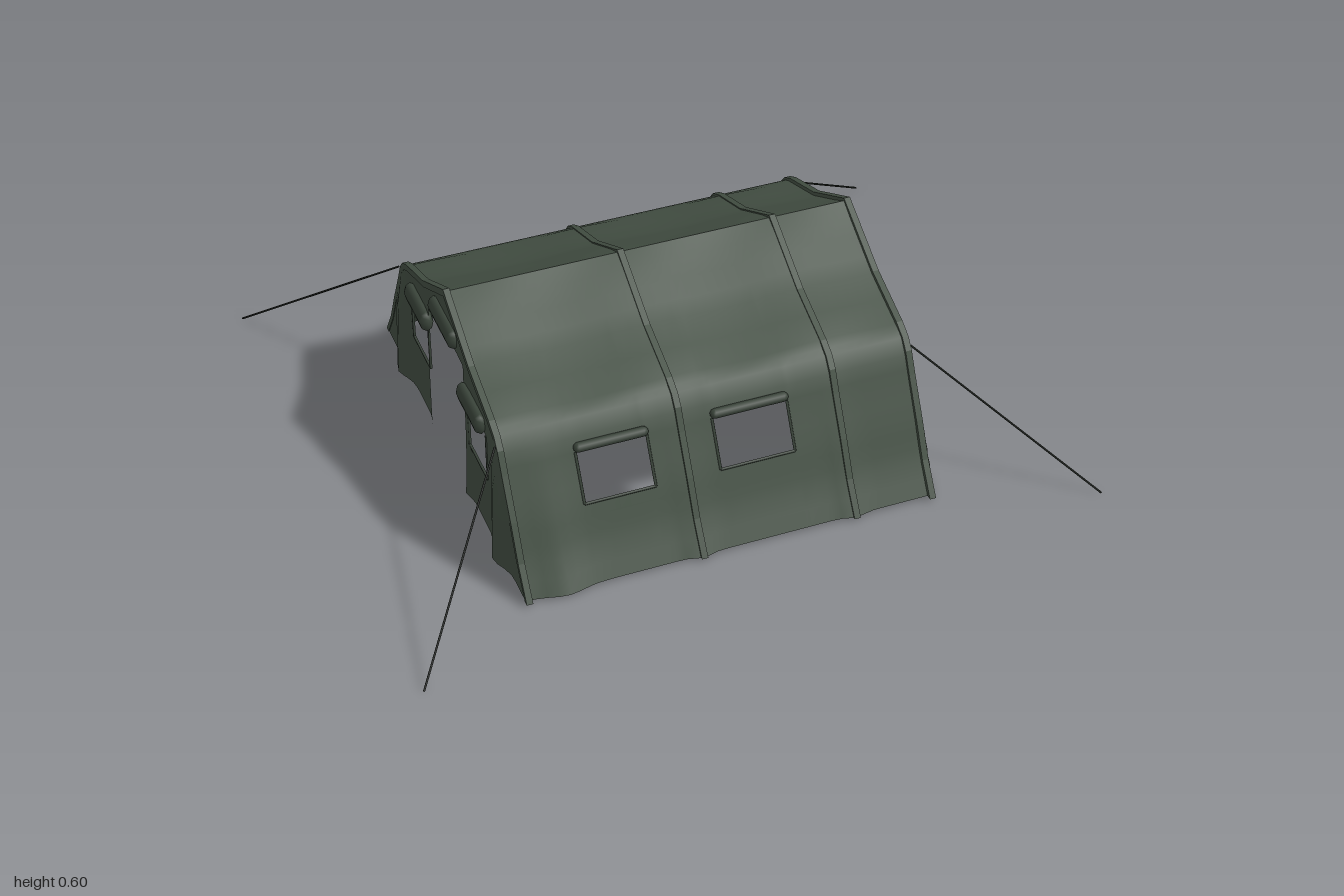
import * as THREE from 'three';

const canvas = new THREE.MeshStandardMaterial({ color: 0x445044, roughness: 0.9, side: THREE.DoubleSide });
const trim = new THREE.MeshStandardMaterial({ color: 0x3a443a, roughness: 0.9, side: THREE.DoubleSide });
const cord = new THREE.MeshStandardMaterial({ color: 0x1c201c });

// Half cross-section as [z, y], ground to ridge
const PROFILE = [[0.625, 0.01], [0.565, 0.1], [0.515, 0.2], [0.455, 0.31], [0.425, 0.37], [0.4, 0.4],
  [0.36, 0.422], [0.2, 0.48], [0.1, 0.535], [0, 0.59]];
const XL = -0.615, XR = 0.565;
const RIBS = [-0.608, -0.115, 0.33, 0.555];
const WINDOWS = [[-0.41, -0.21], [-0.025, 0.19]];
const WIN_LOW = 0.2, WIN_HIGH = 0.325;

const bump = (t, c, w, h) => h * Math.exp(-(((t - c) / w) ** 2));

// Linear lookup in the profile: axis 0 gives y from z, axis 1 gives z from y
function lookup(value, axis) {
  const v = Math.abs(value);
  for (let i = 1; i < PROFILE.length; i++) {
    const a = PROFILE[i - 1], b = PROFILE[i];
    const t = (v - a[axis]) / (b[axis] - a[axis]);
    if (t <= 1 && t >= -1e-6) return a[1 - axis] + t * (b[1 - axis] - a[1 - axis]);
  }
  return axis === 0 ? 0.01 : 0;
}

// Sorted grid lines: an even range plus exact break lines
function lines(from, to, step, extra = []) {
  const out = [...extra, from, to];
  const n = Math.round((to - from) / step);
  for (let i = 1; i < n; i++) {
    const v = from + ((to - from) * i) / n;
    if (extra.every((e) => Math.abs(e - v) > step * 0.3)) out.push(v);
  }
  return [...new Set(out)].sort((a, b) => a - b);
}

// Cloth sheet over a grid, leaving out the cells whose centre is in a hole
function sheet(us, vs, point, isHole, flip) {
  const pos = [], index = [], n = us.length;
  for (const v of vs) for (const u of us) pos.push(...point(u, v));
  for (let j = 0; j < vs.length - 1; j++) {
    for (let i = 0; i < n - 1; i++) {
      if (isHole((us[i] + us[i + 1]) / 2, (vs[j] + vs[j + 1]) / 2)) continue;
      const a = j * n + i, b = a + 1, c = a + n, d = c + 1;
      if (flip) index.push(a, d, b, a, c, d);
      else index.push(a, b, d, a, d, c);
    }
  }
  const g = new THREE.BufferGeometry();
  g.setAttribute('position', new THREE.Float32BufferAttribute(pos, 3));
  g.setIndex(index);
  g.computeVertexNormals();
  return g;
}

function add(parent, name, geometry, material) {
  const mesh = new THREE.Mesh(geometry, material);
  mesh.name = name;
  parent.add(mesh);
  return mesh;
}

// Thin straight rod between two points
function rod(parent, name, from, to, radius, material, sides = 6) {
  const path = new THREE.LineCurve3(new THREE.Vector3(...from), new THREE.Vector3(...to));
  return add(parent, name, new THREE.TubeGeometry(path, 1, radius, sides), material);
}

// Rolled-up cover: a capsule laid along x or z
function roll(parent, name, length, radius, axis, x, y, z) {
  const mesh = add(parent, name, new THREE.CapsuleGeometry(radius, length - 2 * radius, 3, 8), trim);
  if (axis === 'x') mesh.rotation.z = Math.PI / 2;
  else mesh.rotation.x = Math.PI / 2;
  mesh.position.set(x, y, z);
  return mesh;
}

export function createModel() {
  const tent = new THREE.Group();
  tent.name = 'tent';

  // Roof slopes and side walls, one sheet per side
  const xs = lines(XL, XR, 0.03, WINDOWS.flat());
  const ys = [...lines(0.01, 0.4, 0.04, [WIN_LOW, WIN_HIGH]), 0.411, 0.422, 0.45, 0.48, 0.507, 0.535, 0.562, 0.59];
  const inWindow = (x, y) => y > WIN_LOW && y < WIN_HIGH && WINDOWS.some(([a, b]) => x > a && x < b);
  for (const side of [1, -1]) {
    const point = (x, y) => {
      const low = Math.max(0, 1 - y / 0.4);
      const flare = bump(x, -0.5, 0.06, 0.02) + (side < 0 ? bump(x, 0.47, 0.06, 0.02) : 0)
        + bump(x, RIBS[1], 0.03, 0.012) + bump(x, RIBS[2], 0.03, 0.012) - 0.008;
      const sag = y > 0.42 && y < 0.58 ? 0.004 * Math.cos((x + 0.115) * 14) : 0;
      return [x, y + sag, side * (lookup(y, 1) + flare * low)];
    };
    add(tent, side > 0 ? 'frontSlope' : 'backSlope', sheet(xs, ys, point, inWindow, side < 0), canvas);

    // Rolled window covers and thin window edging
    for (const [a, b] of WINDOWS) {
      const mid = (a + b) / 2;
      roll(tent, 'windowCover', b - a + 0.01, 0.014, 'x', mid, 0.337, side * (lookup(0.337, 1) + 0.004));
      const zl = side * lookup(WIN_LOW, 1), zh = side * lookup(WIN_HIGH, 1);
      rod(tent, 'windowSill', [a, WIN_LOW, zl], [b, WIN_LOW, zl], 0.004, trim);
      for (const x of [a, b]) rod(tent, 'windowJamb', [x, WIN_LOW, zl], [x, WIN_HIGH, zh], 0.004, trim);
    }
  }

  // Frame ribs following the cross-section
  const arch = (kz, ky) => [...PROFILE.map(([z, y]) => [z * kz, y * ky]),
    ...PROFILE.slice(0, -1).reverse().map(([z, y]) => [-z * kz, y * ky])];
  const outline = [...arch(1.014, 1.014), ...arch(0.985, 0.975).reverse()];
  const ribShape = new THREE.Shape(outline.map(([z, y]) => new THREE.Vector2(z, y)));
  for (const x of RIBS) {
    const g = new THREE.ExtrudeGeometry(ribShape, { depth: 0.018, bevelEnabled: false });
    g.rotateY(-Math.PI / 2).translate(x + 0.009, 0, 0);
    add(tent, 'rib', g, canvas);
  }

  // End walls: columns follow z and are cut off at the roof line
  const breaks = PROFILE.flatMap(([z]) => [z, -z]);
  const rows = lines(0.01, 0.59, 0.04, [WIN_LOW, 0.35, 0.45]);
  const edgeFade = (z, y) => Math.min(1, Math.max(0, (lookup(z, 0) - y) / 0.1));

  // Closed end with hanging folds
  const foldWall = (z, v) => {
    const y = Math.min(v, lookup(z, 0));
    const folds = 0.012 + bump(z, -0.17, 0.035, 0.05) + bump(z, 0.03, 0.035, 0.06) + bump(z, 0.18, 0.03, 0.03)
      + bump(z, 0.33, 0.05, 0.04) + bump(z, -0.3, 0.05, 0.015);
    return [XR + edgeFade(z, y) * (folds * (1 - y / 0.62) + 0.012), y, z];
  };
  add(tent, 'closedEnd', sheet(lines(-0.625, 0.625, 0.02, breaks), rows, foldWall, () => false, true), canvas);

  // Open end with a doorway and two windows
  const DOOR = 0.15, W0 = 0.175, W1 = 0.33;
  const cols = lines(-0.625, 0.625, 0.03, [...breaks, DOOR, -DOOR, W0, -W0, W1, -W1]);
  const doorWall = (z, v) => {
    const y = Math.min(v, lookup(z, 0));
    const a = Math.abs(z);
    const swell = bump(a, 0.43, 0.05, 0.03) + bump(a, DOOR, 0.03, 0.012);
    const drawn = a > 0.14 && a < 0.16 && y < 0.45 ? Math.sign(z) * 0.015 * Math.sin((y / 0.45) * Math.PI) : 0;
    return [XL - edgeFade(z, y) * swell * (1 - y / 0.6), y, z + drawn];
  };
  const isOpening = (z, y) => {
    const a = Math.abs(z);
    return (a < DOOR && y < 0.45) || (a > W0 && a < W1 && y > WIN_LOW && y < 0.35);
  };
  add(tent, 'doorEnd', sheet(cols, rows, doorWall, isOpening, false), canvas);

  // Rolled covers over the end windows and the doorway
  for (const s of [1, -1]) {
    const cover = roll(tent, 'endWindowCover', 0.18, 0.02, 'z', XL - 0.008, 0.375, s * 0.235);
    cover.scale.z = 1.6;
    rod(tent, 'endWindowSill', [XL, WIN_LOW, s * W0], [XL, WIN_LOW, s * W1], 0.004, trim);
    for (const z of [W0, W1]) rod(tent, 'endWindowJamb', [XL, WIN_LOW, s * z], [XL, 0.35, s * z], 0.004, trim);
  }
  const doorRoll = roll(tent, 'doorCover', 0.2, 0.02, 'z', XL - 0.004, 0.49, 0);
  doorRoll.scale.z = 1.5;

  // Guy ropes from the eave corners
  const ropes = [
    [[-0.62, 0.385, -0.42], [-1, 0.003, -0.84]],
    [[-0.62, 0.385, 0.42], [-0.96, 0.003, 0.83]],
    [[0.57, 0.375, -0.42], [0.97, 0.003, -0.8]],
    [[0.57, 0.375, 0.41], [1, 0.003, 0.77]],
  ];
  for (const [from, to] of ropes) rod(tent, 'guyRope', from, to, 0.003, cord, 5);

  return tent;
}
